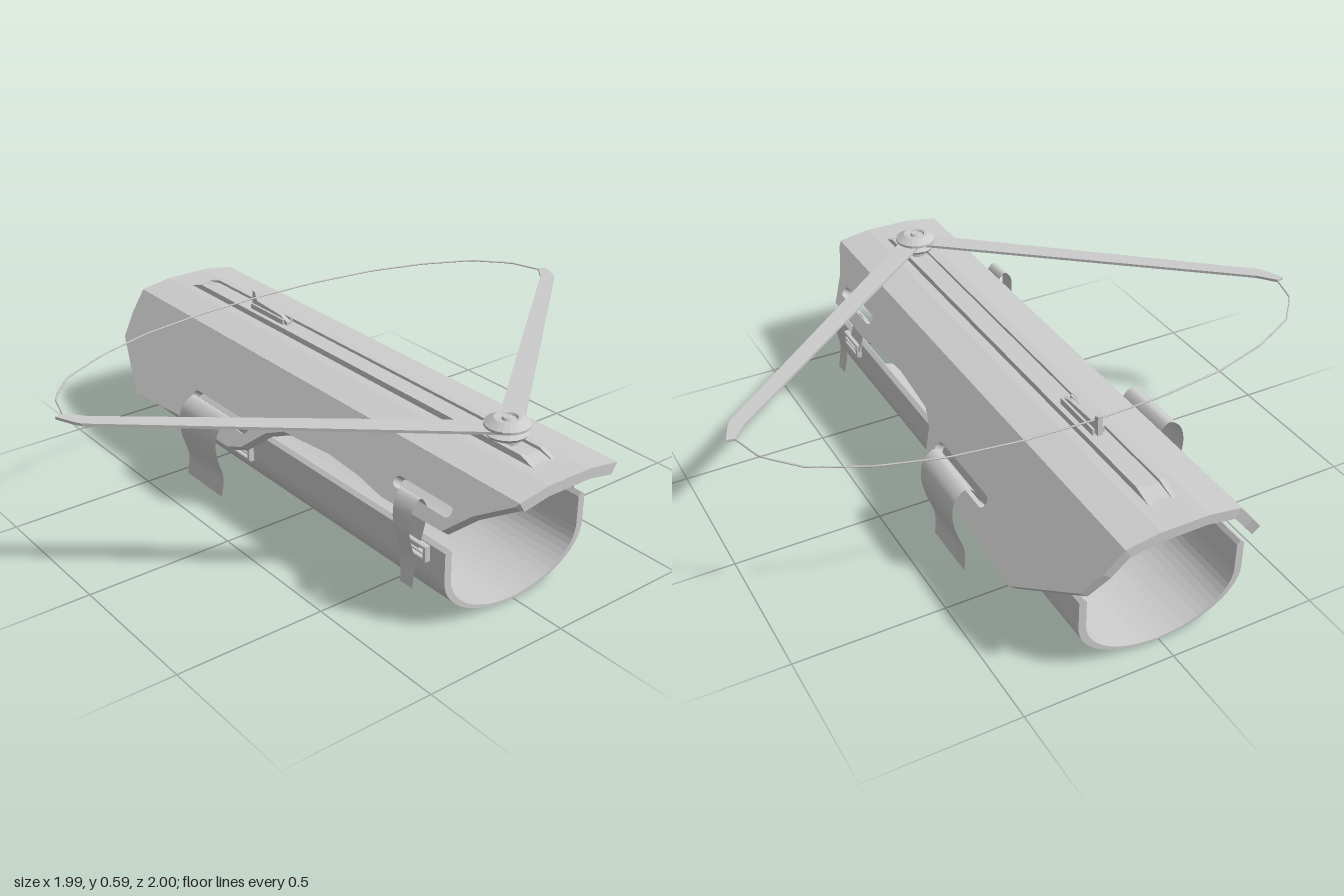
import * as THREE from 'three';

const grey = new THREE.MeshStandardMaterial({ color: 0xcccccc });
const flat = new THREE.MeshStandardMaterial({ color: 0xcccccc, flatShading: true });
const cloth = new THREE.MeshStandardMaterial({ color: 0xcccccc, side: THREE.DoubleSide });

const vecs = pts => pts.map(p => new THREE.Vector2(p[0], p[1]));

// Mirrors a geometry across z = 0, keeping faces outward
function mirrorZ(geo) {
  const g = geo.index ? geo.toNonIndexed() : geo.clone();
  g.scale(1, 1, -1);
  const order = [];
  for (let i = 0; i < g.attributes.position.count; i += 3) order.push(i, i + 2, i + 1);
  g.setIndex(order);
  return g;
}

// Extrudes a (z, y) section along x from x0 to x1
function alongX(shape, x0, x1, curveSegments = 12) {
  const g = new THREE.ExtrudeGeometry(shape, { depth: x1 - x0, bevelEnabled: false, curveSegments });
  g.rotateY(Math.PI / 2);
  g.translate(x0, 0, 0);
  return g;
}

// Rounded slot outline
function slot(x0, x1, y0, y1) {
  const r = (y1 - y0) / 2, c = (y0 + y1) / 2;
  const p = new THREE.Path();
  p.absarc(x1 - r, c, r, -Math.PI / 2, Math.PI / 2, false);
  p.absarc(x0 + r, c, r, Math.PI / 2, Math.PI * 1.5, false);
  p.closePath();
  return p;
}

// Zero-thickness ribbon: rows of [z, y], slanting and narrowing from top to bottom
function ribbon(points, xTop, xEnd, wTop, wEnd) {
  const curve = new THREE.CatmullRomCurve3(points.map(([z, y]) => new THREE.Vector3(0, y, z)));
  const g = new THREE.PlaneGeometry(1, 1, 1, 28);
  const pos = g.attributes.position;
  for (let i = 0; i < pos.count; i++) {
    const t = 0.5 - pos.getY(i);
    const p = curve.getPoint(t);
    const k = THREE.MathUtils.clamp((t - 0.4) / 0.6, 0, 1);
    const x = THREE.MathUtils.lerp(xTop, xEnd, k) + pos.getX(i) * THREE.MathUtils.lerp(wTop, wEnd, k);
    pos.setXYZ(i, x, p.y, p.z);
  }
  g.computeVertexNormals();
  return g;
}

// Rectangular buckle frame with a centre bar, lying on the trough side
function buckleFrame(x0, x1, y0, y1) {
  const t = 0.012;
  const s = new THREE.Shape(vecs([[x0, y0], [x1, y0], [x1, y1], [x0, y1]]));
  const mid = (y0 + y1) / 2;
  for (const [a, b] of [[y0 + t, mid - 0.004], [mid + 0.004, y1 - t]])
    s.holes.push(new THREE.Path(vecs([[x0 + t, a], [x0 + t, b], [x1 - t, b], [x1 - t, a]])));
  const g = new THREE.ExtrudeGeometry(s, { depth: 0.016, bevelSize: 0.004, bevelThickness: 0.006, bevelOffset: -0.004, bevelSegments: 2 });
  g.translate(0, 0, 0.28);
  return g;
}

export function createModel() {
  const model = new THREE.Group();
  const add = (name, geo, mat = grey) => {
    const m = new THREE.Mesh(geo, mat);
    m.name = name;
    model.add(m);
    return m;
  };
  const addPair = (name, geo, mat = grey) => {
    add(name + 'Left', geo, mat);
    add(name + 'Right', mirrorZ(geo), mat);
  };

  // Lower trough: U section, thin at the bottom, chamfered rims
  const u = new THREE.Shape();
  u.moveTo(0.268, 0.275);
  u.lineTo(0.257, 0.262);
  u.lineTo(0.257, 0.17);
  u.absellipse(0, 0.17, 0.257, 0.162, 0, -Math.PI, true);
  u.lineTo(-0.257, 0.262);
  u.lineTo(-0.268, 0.275);
  u.lineTo(-0.282, 0.265);
  u.lineTo(-0.282, 0.17);
  u.absellipse(0, 0.17, 0.282, 0.17, Math.PI, Math.PI * 2, false);
  u.lineTo(0.282, 0.265);
  u.closePath();
  add('armTrough', alongX(u, -0.92, 0.8, 14), flat);

  // Upper deck: shallow faceted roof
  add('topDeck', alongX(new THREE.Shape(vecs([
    [0.192, 0.485], [0.08, 0.502], [-0.08, 0.502], [-0.192, 0.485],
    [-0.172, 0.452], [-0.08, 0.468], [0.08, 0.468], [0.172, 0.452],
  ])), -1, 0.99), flat);

  // Sloping side plates: outline as (x, half width), with strap slots
  const outline = [[-1, 0.19], [-0.985, 0.25], [-0.955, 0.305], [-0.72, 0.4], [-0.64, 0.395], [-0.42, 0.385],
    [-0.16, 0.385], [-0.1, 0.37], [-0.03, 0.32], [0.04, 0.298], [0.25, 0.288], [0.42, 0.294], [0.54, 0.305],
    [0.8, 0.3], [0.87, 0.25], [0.98, 0.2], [0.99, 0.19]];
  const side = new THREE.Shape(vecs(outline.map(([x, z]) => [x, -(z - 0.19) * 1.6])));
  side.holes.push(slot(-0.45, -0.11, -0.25, -0.208), slot(0.55, 0.8, -0.138, -0.102));
  const sideGeo = new THREE.ExtrudeGeometry(side, { depth: 0.034, bevelEnabled: false });
  sideGeo.translate(0, 0, -0.034);
  sideGeo.rotateX(-0.675);
  sideGeo.translate(0, 0.485, 0.19);
  addPair('sidePlate', sideGeo, flat);

  // Central rail with a shallow bolt groove and sloping ends
  const railShape = h => new THREE.Shape(vecs([[-0.9, 0.498], [0.9, 0.498], [0.84, h], [-0.82, h]]));
  const rail = new THREE.ExtrudeGeometry(railShape(0.522), { depth: 0.016, bevelEnabled: false });
  rail.translate(0, 0, 0.03);
  addPair('boltRail', rail, flat);
  const bed = new THREE.ExtrudeGeometry(railShape(0.512), { depth: 0.06, bevelEnabled: false });
  bed.translate(0, 0, -0.03);
  add('railBed', bed, flat);

  // String catch: sloping wedge with upright hook, and the slot blades beside it
  const hook = new THREE.ExtrudeGeometry(new THREE.Shape(vecs([
    [-0.55, 0.51], [-0.34, 0.51], [-0.34, 0.524], [-0.38, 0.538], [-0.52, 0.546], [-0.533, 0.575], [-0.548, 0.578],
  ])), { depth: 0.016, bevelEnabled: false });
  hook.translate(0, 0, -0.008);
  add('stringCatch', hook, flat);
  for (const z of [-0.017, 0.017]) {
    const cheek = new THREE.BoxGeometry(0.19, 0.025, 0.008);
    cheek.translate(-0.445, 0.521, z);
    add('catchCheek', cheek);
  }

  // Bow pivot: stacked chamfered discs
  const pivot = new THREE.LatheGeometry(vecs([
    [0, 0.505], [0.042, 0.505], [0.042, 0.528], [0.06, 0.532], [0.066, 0.542], [0.045, 0.55], [0.045, 0.556],
    [0.07, 0.562], [0.07, 0.57], [0.042, 0.587], [0.032, 0.587], [0.028, 0.58], [0.018, 0.58], [0.014, 0.588], [0, 0.588],
  ]), 20);
  pivot.translate(0.735, 0, 0);
  add('bowPivot', pivot, flat);

  // Bow arms: thin flat limbs with angled tips
  const limb = new THREE.ExtrudeGeometry(new THREE.Shape(vecs([
    [0.695, 0], [0.765, 0.035], [-0.025, 0.96], [-0.045, 0.972], [-0.112, 1], [-0.118, 0.972], [-0.06, 0.925],
  ])), { depth: 0.009, bevelEnabled: false });
  limb.rotateX(Math.PI / 2);
  limb.translate(0, 0.56, 0);
  addPair('bowArm', limb, flat);

  // Bow string
  const half = [[-0.11, 0.975], [-0.23, 0.94], [-0.34, 0.84], [-0.425, 0.67], [-0.485, 0.475], [-0.518, 0.24]];
  const all = [...half, [-0.527, 0], ...half.map(([x, z]) => [x, -z]).reverse()];
  const path = new THREE.CurvePath();
  for (let i = 1; i < all.length; i++)
    path.add(new THREE.LineCurve3(...[all[i - 1], all[i]].map(([x, z]) => new THREE.Vector3(x, 0.556, z))));
  add('bowString', new THREE.TubeGeometry(path, 60, 0.003, 6));

  // Straps looping through the side plate slots
  addPair('wideStrap', ribbon([[0.295, 0.18], [0.312, 0.25], [0.335, 0.31], [0.365, 0.335], [0.405, 0.31],
    [0.42, 0.26], [0.41, 0.19], [0.385, 0.11], [0.39, 0.035]], -0.275, -0.305, 0.23, 0.21), cloth);
  addPair('narrowStrap', ribbon([[0.295, 0.24], [0.272, 0.32], [0.27, 0.375], [0.295, 0.405], [0.33, 0.37],
    [0.34, 0.3], [0.325, 0.22], [0.335, 0.13]], 0.655, 0.695, 0.09, 0.055), cloth);

  // Buckles on the trough sides
  addPair('wideBuckle', buckleFrame(-0.41, -0.16, 0.155, 0.208));
  addPair('narrowBuckle', buckleFrame(0.62, 0.735, 0.21, 0.262));

  return model;
}
